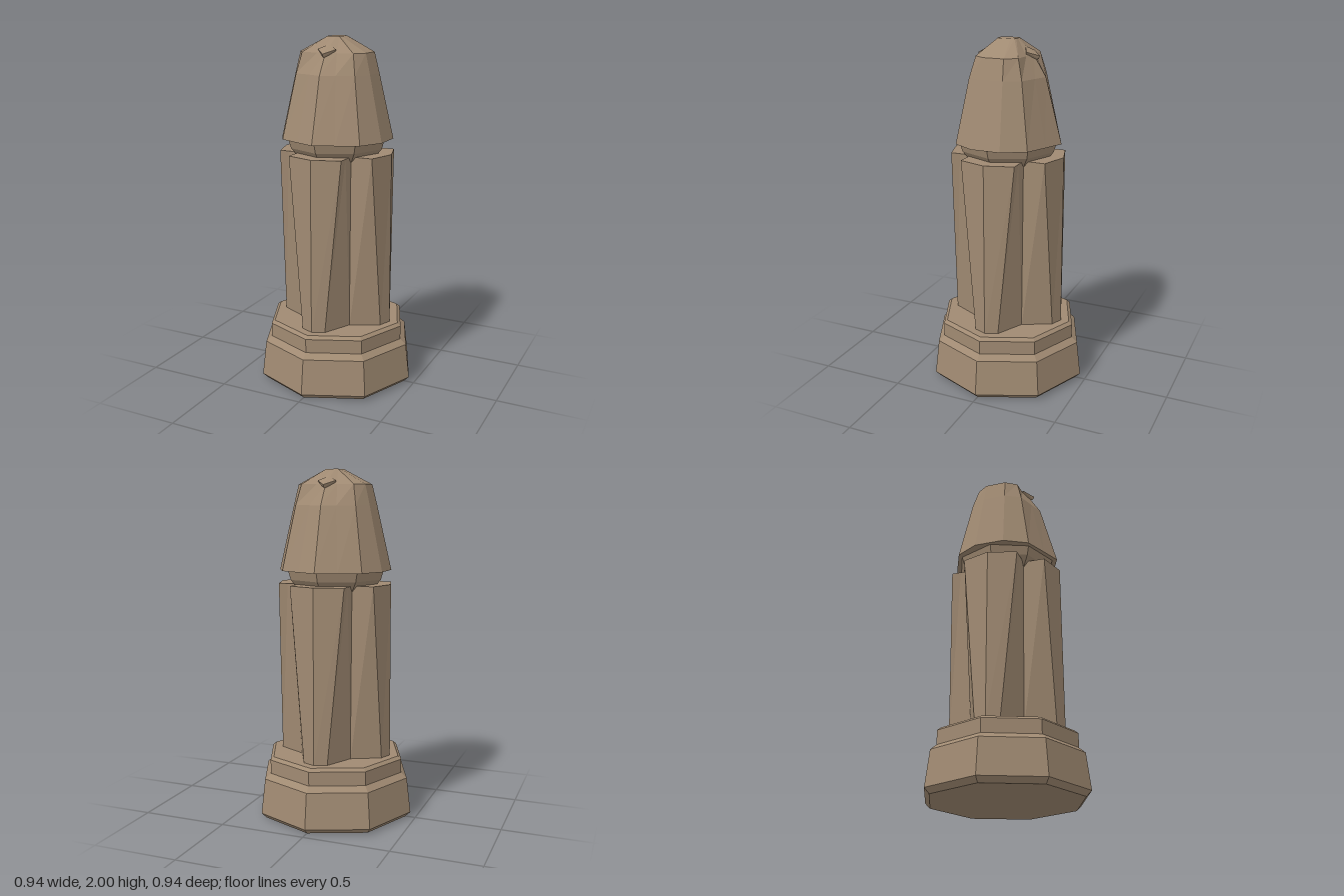
import * as THREE from 'three';
import { ConvexGeometry } from 'three/addons/geometries/ConvexGeometry.js';

const stone = new THREE.MeshStandardMaterial({ color: 0xa08a72, flatShading: true });
stone.name = 'sandstone';

// Mirrors a quarter outline [x, z], running from the z axis to the x axis, into a full ring at height y.
function ring(y, quarter) {
  const back = quarter.map(([x, z]) => [x, -z]).reverse();
  const half = quarter.concat(back.filter(([, z]) => z !== 0));
  const other = half.filter(([x]) => x !== 0).map(([x, z]) => [-x, z]).reverse();
  return half.concat(other).map(([x, z]) => new THREE.Vector3(x, y, z));
}

// Joins rings from bottom to top and closes both ends.
function loft(rings) {
  const pos = [];
  const tri = (a, b, c) => {
    const area = b.clone().sub(a).cross(c.clone().sub(a)).length();
    if (area > 1e-7) for (const p of [a, b, c]) pos.push(p.x, p.y, p.z);
  };
  const n = rings[0].length;
  const low = rings[0], high = rings[rings.length - 1];
  const lowMid = new THREE.Vector3(0, low[0].y, 0);
  const highMid = new THREE.Vector3(0, high[0].y, 0);
  for (let i = 0; i < n; i++) {
    const j = (i + 1) % n;
    for (let k = 0; k < rings.length - 1; k++) {
      const a = rings[k], b = rings[k + 1];
      tri(a[i], a[j], b[j]);
      tri(a[i], b[j], b[i]);
    }
    tri(lowMid, low[j], low[i]);
    tri(highMid, high[i], high[j]);
  }
  const g = new THREE.BufferGeometry();
  g.setAttribute('position', new THREE.Float32BufferAttribute(pos, 3));
  g.computeVertexNormals();
  return g;
}

// Eight-sided turned solid with corners on the axes; profile is [radius, y].
const octagon = (profile) =>
  new THREE.LatheGeometry(profile.map(([r, y]) => new THREE.Vector2(r, y)), 8);

export function createModel() {
  const model = new THREE.Group();
  model.name = 'stonePillar';
  const add = (name, geometry) => {
    const mesh = new THREE.Mesh(geometry, stone);
    mesh.name = name;
    model.add(mesh);
    return mesh;
  };

  // Stepped plinth
  add('plinth', octagon([
    [0, 0], [0.44, 0], [0.47, 0.03], [0.445, 0.235], [0.41, 0.265],
    [0.41, 0.345], [0.39, 0.362], [0, 0.362],
  ]));

  // Shaft of four panels, with corner grooves that open towards the top
  add('shaft', loft([
    ring(0.35, [[0, 0.34], [0.07, 0.312], [0.15, 0.15], [0.15, 0.15], [0.15, 0.15], [0.312, 0.07], [0.34, 0]]),
    ring(1.36, [[0, 0.335], [0.16, 0.285], [0.16, 0.23], [0.16, 0.16], [0.23, 0.16], [0.285, 0.16], [0.335, 0]]),
  ]));

  // Neck between shaft and cap
  add('neck', octagon([
    [0, 1.33], [0.23, 1.33], [0.275, 1.385], [0.292, 1.44], [0, 1.44],
  ]));

  // Tapered cap with a sloping crown
  add('cap', loft([
    ring(1.435, [[0, 0.32], [0.115, 0.27], [0.237, 0.215], [0.31, 0.085]]),
    ring(1.8, [[0, 0.222], [0.08, 0.19], [0.178, 0.155], [0.228, 0.066]]),
    ring(1.915, [[0, 0.15], [0.06, 0.13], [0.155, 0.125], [0.2, 0.06]]),
    ring(2.0, [[0, 0.055], [0.02, 0.055], [0.035, 0.05], [0.042, 0.03]]),
  ]));

  // Small pointed lips at the front and back of the crown
  const lip = new ConvexGeometry([
    [0, 1.912, 0.185], [0, 1.895, 0.178], [-0.055, 1.935, 0.13], [0.055, 1.935, 0.13],
    [-0.045, 1.915, 0.12], [0.045, 1.915, 0.12], [0, 1.96, 0.1], [0, 1.88, 0.12],
  ].map((p) => new THREE.Vector3(...p)));
  add('frontLip', lip);
  add('backLip', lip).rotation.y = Math.PI;

  return model;
}
